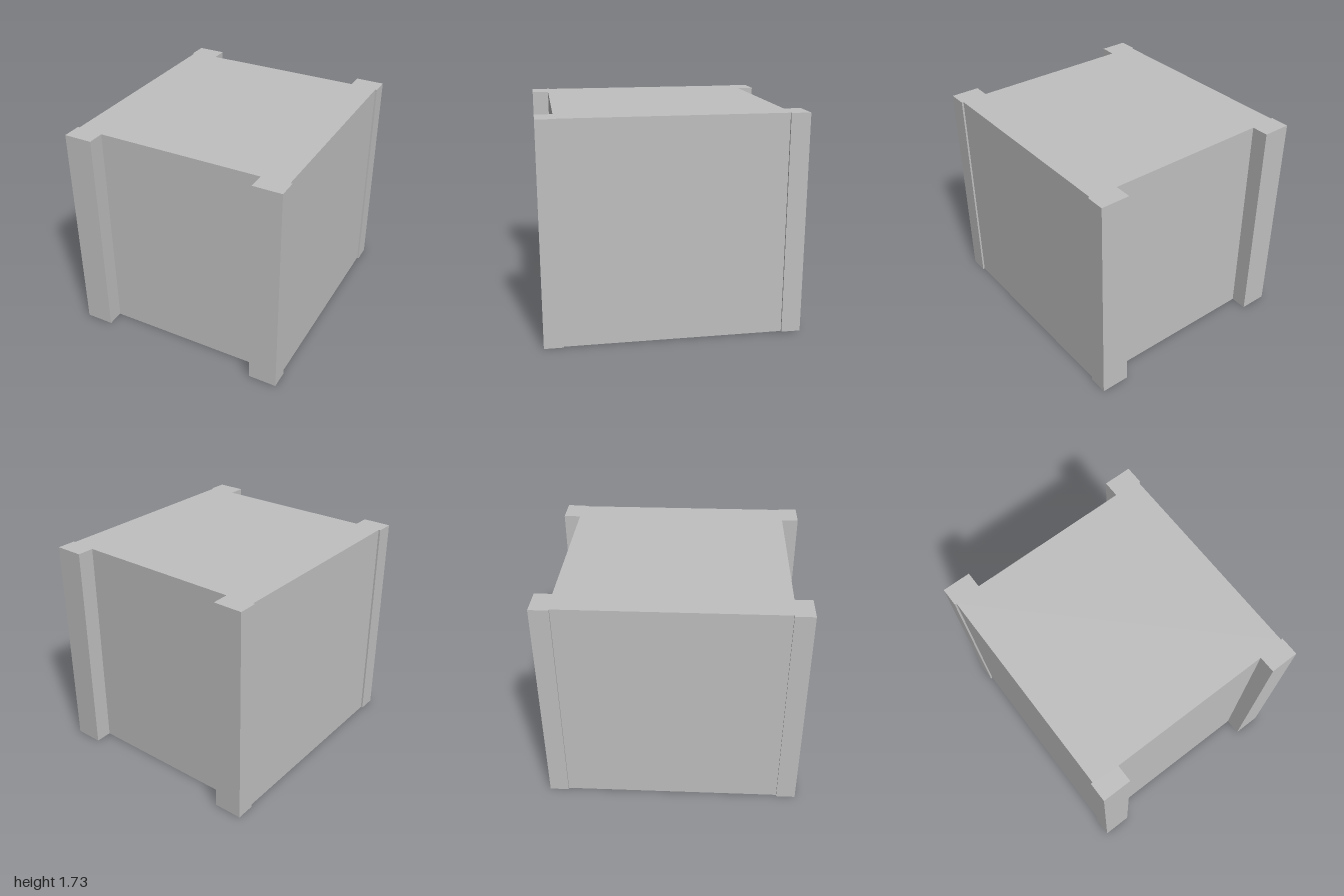
import * as THREE from 'three';

const HEIGHT = 1.73;

// One corner of the plan: side wall, projecting corner post, front wall
const CORNER = [[0.867, 0.85], [0.882, 0.85], [0.882, 1], [0.655, 1], [0.655, 0.866]];

// Mirror the corner into all four quadrants, keeping the outline counter-clockwise
function planShape() {
  const points = [];
  for (const [sx, sy] of [[1, 1], [-1, 1], [-1, -1], [1, -1]]) {
    const corner = CORNER.map(([x, y]) => new THREE.Vector2(x * sx, y * sy));
    points.push(...(sx * sy > 0 ? corner : corner.reverse()));
  }
  return new THREE.Shape(points);
}

export function createModel() {
  const group = new THREE.Group();
  group.name = 'crateBlock';

  const grey = new THREE.MeshStandardMaterial({ color: 0xc0c0c0 });
  grey.name = 'light grey';

  // Solid block with its four corner posts, raised from the plan
  const geometry = new THREE.ExtrudeGeometry(planShape(), { depth: HEIGHT, bevelEnabled: false });
  geometry.rotateX(-Math.PI / 2);
  const body = new THREE.Mesh(geometry, grey);
  body.name = 'bodyWithCornerPosts';
  group.add(body);

  return group;
}
